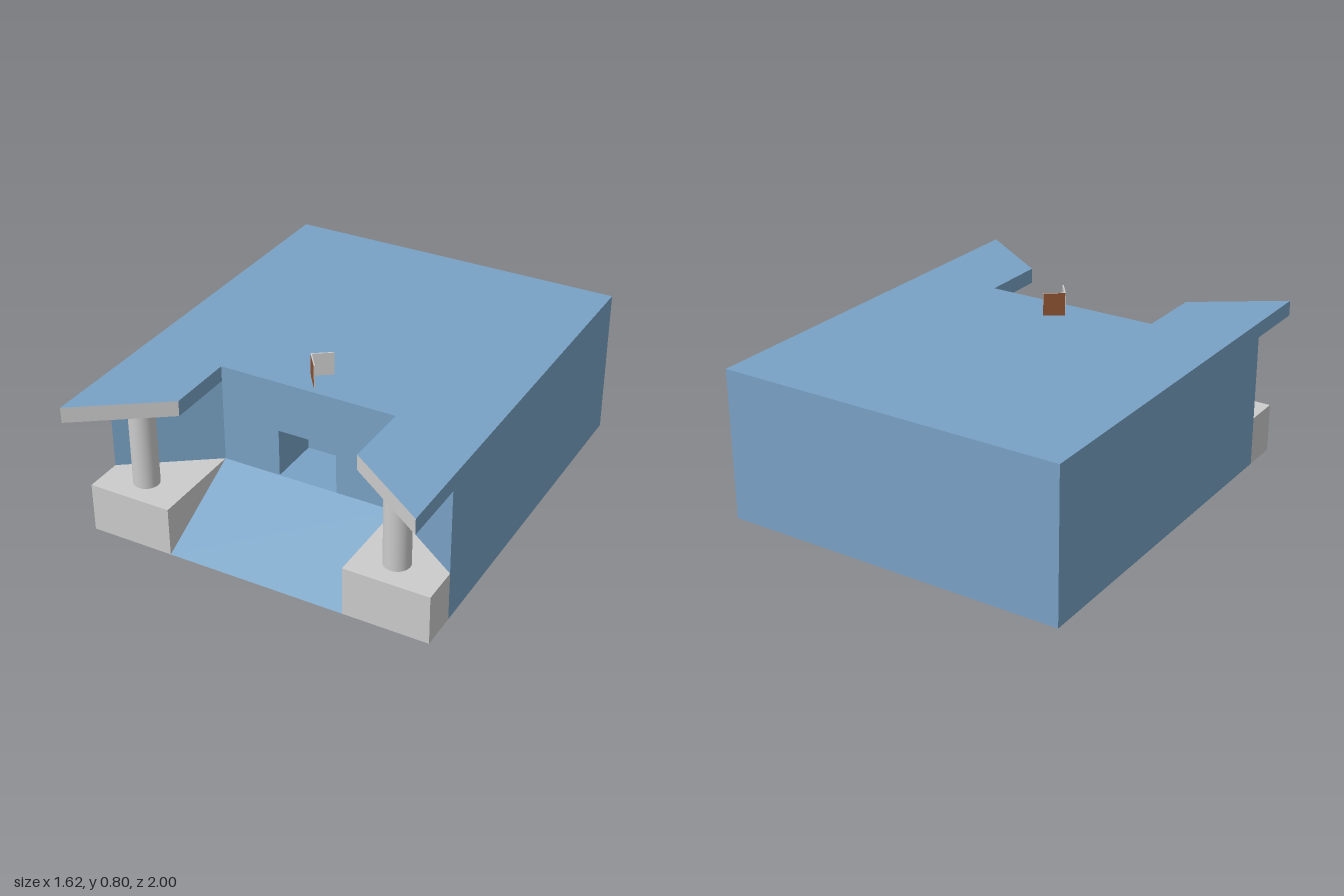
import * as THREE from 'three';

const paint = (color) => new THREE.MeshStandardMaterial({ color });

// Footprint and level dimensions
const W = 0.81, N = 0.417, D = 0.14;                    // half widths: building, forecourt, doorway
const FLOOR = 0.23, SOFFIT = 0.625, ROOF = 0.697, LINTEL = 0.457;
const BACK = -1, CORNER = 0.677, RECESS = 0.4, PLINTH = 0.852, ALCOVE = 0.15;
const TIP = [W, 1], INNER = [N, 0.725];                 // canopy edge, [x, z]

// Flat faces from a list of four-cornered panels
function quads(list) {
  const pos = [];
  for (const [a, b, c, d] of list) pos.push(...a, ...b, ...c, ...a, ...c, ...d);
  const g = new THREE.BufferGeometry();
  g.setAttribute('position', new THREE.Float32BufferAttribute(pos, 3));
  g.computeVertexNormals();
  return g;
}

// Upright walls along an [x, z] path; outside is to the right of travel seen from above
function walls(path, y0, y1) {
  const list = [];
  for (let i = 0; i + 1 < path.length; i++) {
    const [x0, z0] = path[i], [x1, z1] = path[i + 1];
    list.push([[x0, y0, z0], [x1, y0, z1], [x1, y1, z1], [x0, y1, z0]]);
  }
  return quads(list);
}

// Horizontal slab face over an [x, z] outline, facing up or down
function cap(outline, y, up) {
  const s = up ? -1 : 1;
  const shape = new THREE.Shape(outline.map(([x, z]) => new THREE.Vector2(x, s * z)));
  return new THREE.ShapeGeometry(shape).rotateX(s * Math.PI / 2).translate(0, y, 0);
}

// Same path on the other side, reversed so it still faces outwards
const mirror = (path) => path.map(([x, z]) => [-x, z]).reverse();

export function createModel() {
  const model = new THREE.Group();
  const blue = paint(0x79a2c5), grey = paint(0xcccccc), brown = paint(0x8b5231);

  const add = (parent, name, geometry, material) => {
    const mesh = new THREE.Mesh(geometry, material);
    mesh.name = name;
    parent.add(mesh);
    return mesh;
  };

  // Main building shell
  add(model, 'outerWalls', walls([[W, CORNER], [W, BACK], [-W, BACK], [-W, CORNER]], 0, ROOF), blue);
  add(model, 'base', cap([[-W, BACK], [W, BACK], [W, PLINTH], [-W, PLINTH]], 0, false), blue);
  const right = [[W, BACK], [W, 1], INNER, [N, RECESS]];
  add(model, 'roof', cap([...right, ...mirror(right)], ROOF, true), blue);

  // Entrance wall with the doorway cut out
  const front = new THREE.Shape([[-N, FLOOR], [-D, FLOOR], [-D, LINTEL], [D, LINTEL], [D, FLOOR],
    [N, FLOOR], [N, ROOF], [-N, ROOF]].map(([x, y]) => new THREE.Vector2(x, y)));
  add(model, 'entranceWall', new THREE.ShapeGeometry(front).translate(0, 0, RECESS), blue);

  // Doorway alcove
  const alcove = new THREE.Group();
  alcove.name = 'doorway';
  model.add(alcove);
  const niche = [[-D, RECESS], [-D, ALCOVE], [D, ALCOVE], [D, RECESS]];
  add(alcove, 'doorwayWalls', walls(niche, FLOOR, LINTEL), blue);
  add(alcove, 'doorwayFloor', cap(niche, FLOOR, true), blue);
  add(alcove, 'doorwayCeiling', cap(niche, LINTEL, false), blue);

  // Ramp up to the door
  add(model, 'ramp', quads([[[-N, 0, PLINTH], [N, 0, PLINTH], [N, FLOOR, RECESS], [-N, FLOOR, RECESS]]]), blue);

  // Porch on each side: slanted wall, canopy, plinth and column
  for (const [side, flip, columnX] of [['left', (p) => p, 0.594], ['right', mirror, -0.617]]) {
    const porch = new THREE.Group();
    porch.name = side + 'Porch';
    model.add(porch);
    add(porch, 'slantedWall', walls(flip([[N, RECESS], [W, CORNER]]), FLOOR, SOFFIT), blue);
    add(porch, 'canopySoffit', cap(flip([[W, CORNER], TIP, INNER, [N, RECESS]]), SOFFIT, false), blue);
    add(porch, 'canopyOuterEdge', walls(flip([TIP, [W, CORNER]]), SOFFIT, ROOF), blue);
    add(porch, 'canopyInnerEdge', walls(flip([[N, RECESS], INNER]), SOFFIT, ROOF), blue);
    add(porch, 'canopyFront', walls(flip([INNER, TIP]), SOFFIT, ROOF), grey);

    const plinth = [[N, RECESS], [N, PLINTH], [W, PLINTH], [W, CORNER]];
    add(porch, 'plinthSides', walls(flip(plinth), 0, FLOOR), grey);
    add(porch, 'plinthTop', cap(flip(plinth), FLOOR, true), grey);

    const column = new THREE.CylinderGeometry(0.059, 0.059, SOFFIT - FLOOR, 32);
    add(porch, 'column', column, grey).position.set(columnX, (SOFFIT + FLOOR) / 2, 0.715);
  }

  // Small folded sign on the roof: brown outside, grey inside
  const sign = new THREE.Group();
  sign.name = 'roofSign';
  model.add(sign);
  const fold = [-0.042, 0.283], thick = 0.006, high = 0.803 - ROOF;
  for (const [name, end, inner] of [['signBackLeaf', [0.038, 0.227], 1], ['signFrontLeaf', [0.02, 0.365], -1]]) {
    const dx = end[0] - fold[0], dz = end[1] - fold[1];
    const faces = [grey, grey, grey, grey, inner > 0 ? grey : brown, inner > 0 ? brown : grey];
    const leaf = add(sign, name, new THREE.BoxGeometry(Math.hypot(dx, dz), high, thick), faces);
    leaf.position.set(fold[0] + dx / 2, ROOF + high / 2, fold[1] + dz / 2);
    leaf.rotation.y = Math.atan2(-dz, dx);
  }

  return model;
}
